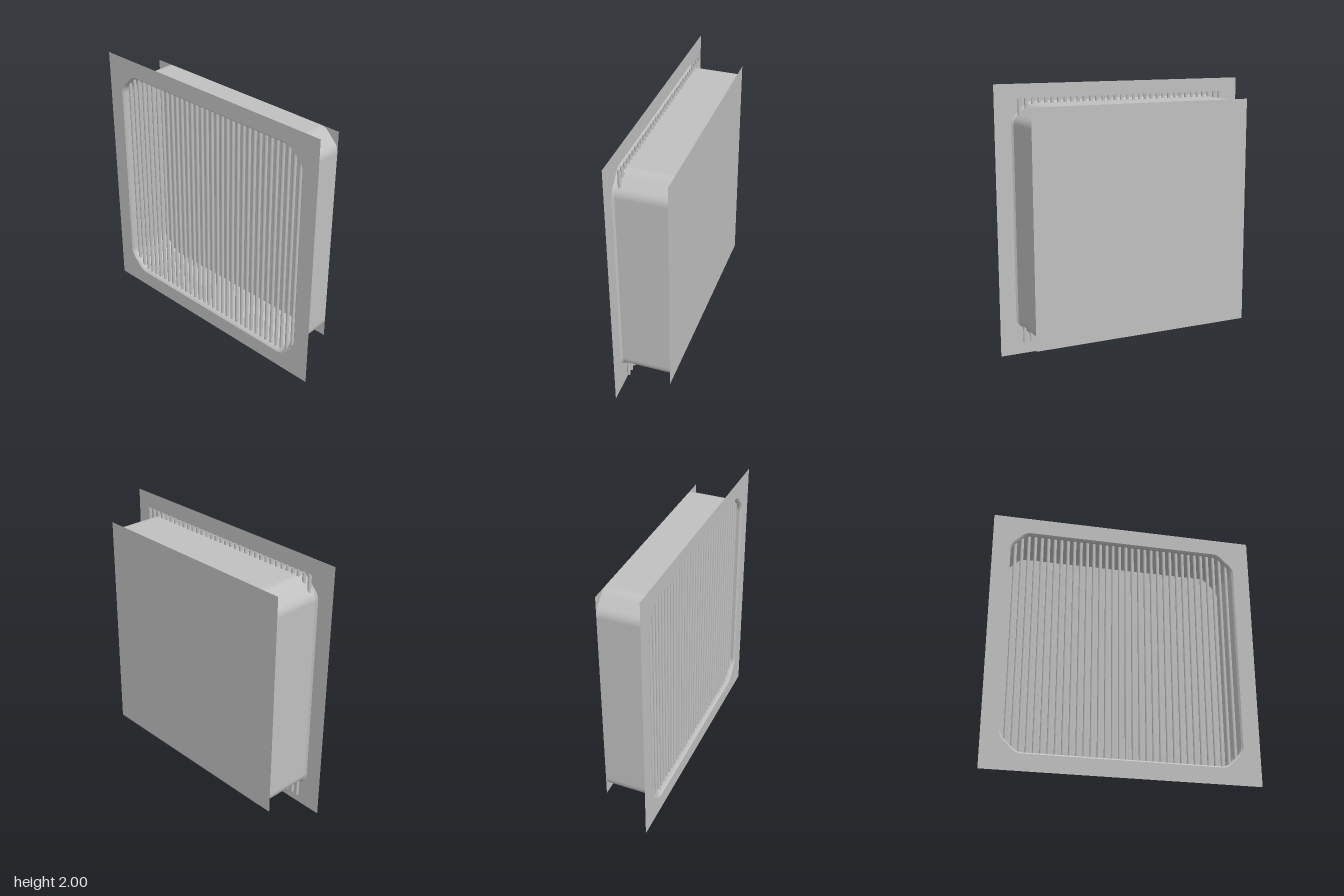
import * as THREE from 'three';

const HALF_DEPTH = 0.1875;
const LIP = 0.0125; // size of the bevel around the opening
const CENTRE_Y = 1;

// Chamfered square with softened corners; half is the half width, knee where the chamfer starts
function outline(half, knee, path = new THREE.Path()) {
  const corners = [
    [half, knee], [knee, half], [-knee, half], [-half, knee],
    [-half, -knee], [-knee, -half], [knee, -half], [half, -knee],
  ].map(([x, y]) => new THREE.Vector2(x, y));
  path.moveTo(half, 0);
  corners.forEach((p, i) => {
    const before = corners[(i + 7) % 8], after = corners[(i + 1) % 8];
    const a = before.clone().sub(p).setLength(0.042).add(p);
    const b = after.clone().sub(p).setLength(0.042).add(p);
    path.lineTo(a.x, a.y);
    path.quadraticCurveTo(p.x, p.y, b.x, b.y);
  });
  path.lineTo(half, 0);
  return path;
}

// Smooth band joining two matching outlines at different depths
function band(back, zBack, front, zFront) {
  const a = back.getPoints(8), b = front.getPoints(8);
  const positions = [], indices = [];
  a.forEach((p, i) => {
    positions.push(p.x, p.y, zBack, b[i].x, b[i].y, zFront);
    if (i < a.length - 1) {
      const k = i * 2;
      indices.push(k, k + 2, k + 1, k + 1, k + 2, k + 3);
    }
  });
  const geometry = new THREE.BufferGeometry();
  geometry.setAttribute('position', new THREE.Float32BufferAttribute(positions, 3));
  geometry.setIndex(indices);
  geometry.computeVertexNormals();
  return geometry;
}

export function createModel() {
  const group = new THREE.Group();
  group.name = 'ventGrille';
  const grey = new THREE.MeshStandardMaterial({ color: 0xc0c0c0, side: THREE.DoubleSide });
  grey.name = 'light grey';

  const add = (name, geometry, x, y, z) => {
    const mesh = new THREE.Mesh(geometry, grey);
    mesh.name = name;
    mesh.position.set(x, y, z);
    group.add(mesh);
    return mesh;
  };

  const outer = () => outline(0.875, 0.752);
  const inner = outline(0.8625, 0.747);

  // Thin square face plate with the opening cut out
  const plate = new THREE.Shape();
  plate.moveTo(-1, -1).lineTo(1, -1).lineTo(1, 1).lineTo(-1, 1).closePath();
  plate.holes.push(outer());
  add('facePlate', new THREE.ShapeGeometry(plate, 8), 0, CENTRE_Y, HALF_DEPTH);

  // Bevelled lip and the duct wall behind it
  const lipZ = HALF_DEPTH - LIP;
  add('bevelLip', band(inner, lipZ, outer(), HALF_DEPTH), 0, CENTRE_Y, 0);
  add('ductWall', band(inner, -HALF_DEPTH, inner, lipZ), 0, CENTRE_Y, 0);

  // Square back panel
  const panel = add('backPanel', new THREE.PlaneGeometry(1.725, 1.725), 0, CENTRE_Y, -HALF_DEPTH);
  panel.rotation.y = Math.PI;

  // Row of open vertical tubes that pass through the duct wall
  const count = 34, spacing = 0.05;
  const tube = new THREE.CylinderGeometry(0.0125, 0.0125, 1.8, 16, 1, true);
  for (let i = 0; i < count; i++) {
    add('bar' + (i + 1), tube, (i - (count - 1) / 2) * spacing, CENTRE_Y, 0.148);
  }
  return group;
}
